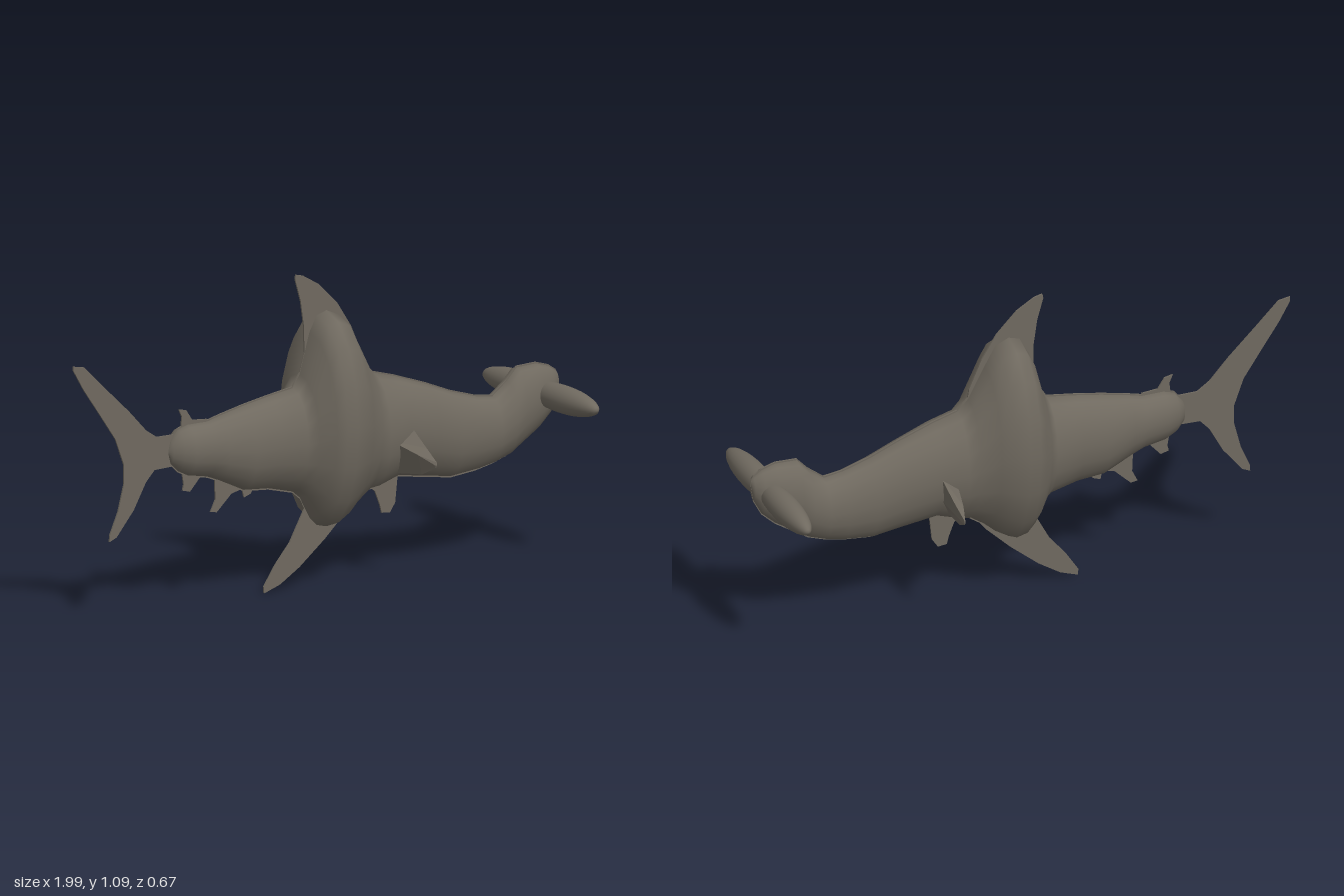
import * as THREE from 'three';

const skin = new THREE.MeshStandardMaterial({ color: 0x6f695f });
skin.name = 'greySkin';

// body cross-sections: x, top y, bottom y, half width
const SECTIONS = [
  [-0.61, 0.55, 0.55, 0], [-0.6, 0.59, 0.51, 0.025], [-0.57, 0.625, 0.48, 0.05],
  [-0.53, 0.637, 0.46, 0.061], [-0.45, 0.637, 0.445, 0.063], [-0.4, 0.65, 0.425, 0.072],
  [-0.3, 0.672, 0.378, 0.088], [-0.2, 0.69, 0.37, 0.095], [-0.1, 0.705, 0.345, 0.102],
  [-0.07, 0.75, 0.32, 0.125], [-0.03, 0.89, 0.245, 0.172], [0, 0.945, 0.215, 0.19],
  [0.04, 0.957, 0.205, 0.195], [0.09, 0.935, 0.235, 0.185], [0.13, 0.865, 0.27, 0.158],
  [0.19, 0.755, 0.31, 0.125], [0.23, 0.715, 0.315, 0.115], [0.32, 0.69, 0.345, 0.108],
  [0.45, 0.645, 0.325, 0.087], [0.55, 0.605, 0.31, 0.08], [0.65, 0.575, 0.32, 0.07],
  [0.72, 0.565, 0.335, 0.07], [0.78, 0.61, 0.355, 0.074], [0.82, 0.652, 0.38, 0.072],
  [0.9, 0.655, 0.43, 0.06], [0.95, 0.64, 0.475, 0.045], [0.98, 0.62, 0.53, 0.025],
  [0.99, 0.6, 0.59, 0],
];

// skin over rings that all have the same number of points
function loft(rings) {
  const n = rings[0].length;
  const index = [];
  for (let i = 0; i < rings.length - 1; i++) {
    for (let j = 0; j < n; j++) {
      const a = i * n + j, b = i * n + ((j + 1) % n);
      index.push(a, b, a + n, b, b + n, a + n);
    }
  }
  const geo = new THREE.BufferGeometry();
  geo.setAttribute('position', new THREE.Float32BufferAttribute(rings.flat(2), 3));
  geo.setIndex(index);
  geo.computeVertexNormals();
  return geo;
}

// thin upright plate in the middle plane
function plate(points, depth = 0.006) {
  const shape = new THREE.Shape(points.map(([x, y]) => new THREE.Vector2(x, y)));
  const geo = new THREE.ExtrudeGeometry(shape, { depth, bevelEnabled: false });
  return geo.translate(0, 0, -depth / 2);
}

export function createModel() {
  const model = new THREE.Group();
  model.name = 'hammerheadShark';
  const add = (name, geo) => {
    const mesh = new THREE.Mesh(geo, skin);
    mesh.name = name;
    model.add(mesh);
    return mesh;
  };

  // body: sixteen-sided ellipses along x
  const sides = 16;
  add('body', loft(SECTIONS.map(([x, top, bottom, w]) =>
    Array.from({ length: sides }, (_, j) => {
      const a = (j / sides) * Math.PI * 2;
      return [x, (top + bottom) / 2 + Math.cos(a) * (top - bottom) / 2, Math.sin(a) * w];
    }))));

  // narrow ridge along back and belly
  const ridge = 0.004;
  add('ridge', plate([
    ...SECTIONS.map(([x, top]) => [x, top + ridge]),
    ...SECTIONS.map(([x, , bottom]) => [x, bottom - ridge]).reverse(),
  ]));

  // flat fins
  const fins = {
    dorsalFin: [[-0.05, 0.8], [-0.052, 0.91], [-0.065, 1.0], [-0.088, 1.08], [-0.085, 1.095],
      [-0.055, 1.088], [0.01, 1.05], [0.085, 0.975], [0.14, 0.89], [0.185, 0.79], [0.2, 0.7]],
    tailFin: [[-0.997, 0.9], [-0.955, 0.893], [-0.875, 0.815], [-0.77, 0.715], [-0.7, 0.64],
      [-0.655, 0.61], [-0.57, 0.61], [-0.57, 0.5], [-0.665, 0.497], [-0.7, 0.46], [-0.75, 0.37],
      [-0.82, 0.285], [-0.85, 0.272], [-0.848, 0.295], [-0.815, 0.37], [-0.79, 0.465],
      [-0.79, 0.53], [-0.825, 0.625], [-0.89, 0.72], [-0.955, 0.813], [-0.997, 0.885]],
    lowerFin: [[-0.05, 0.35], [-0.05, 0.28], [-0.11, 0.17], [-0.17, 0.1], [-0.217, 0.03],
      [-0.215, 0.008], [-0.15, 0.03], [-0.07, 0.08], [0.035, 0.165], [0.125, 0.25], [0.19, 0.33]],
    rearDorsalFin: [[-0.56, 0.6], [-0.552, 0.665], [-0.565, 0.693], [-0.535, 0.687],
      [-0.51, 0.65], [-0.45, 0.645], [-0.45, 0.6]],
    rearBellyFin: [[-0.56, 0.52], [-0.545, 0.43], [-0.55, 0.41], [-0.52, 0.402],
      [-0.48, 0.445], [-0.45, 0.5]],
    bellyFin: [[-0.42, 0.47], [-0.415, 0.36], [-0.435, 0.32], [-0.41, 0.316],
      [-0.35, 0.372], [-0.3, 0.385], [-0.28, 0.45]],
    smallBellyFin: [[-0.31, 0.4], [-0.298, 0.352], [-0.27, 0.362], [-0.25, 0.4]],
    throatFin: [[0.19, 0.34], [0.24, 0.3], [0.26, 0.25], [0.267, 0.222], [0.3, 0.218],
      [0.322, 0.25], [0.333, 0.35], [0.25, 0.4]],
  };
  for (const [name, points] of Object.entries(fins)) add(name, plate(points));

  // swept side fins and hammer lobes, mirrored
  const finSections = [
    [0.07, [[0.26, 0.485], [0.288, 0.37], [0.318, 0.43], [0.33, 0.54]]],
    [0.19, [[0.288, 0.455], [0.302, 0.387], [0.316, 0.425], [0.322, 0.475]]],
    [0.258, [[0.31, 0.43], [0.312, 0.42], [0.316, 0.425], [0.316, 0.44]]],
    [0.262, [[0.314, 0.43], [0.314, 0.43], [0.314, 0.43], [0.314, 0.43]]],
  ];
  for (const side of [1, -1]) {
    const label = side > 0 ? 'left' : 'right';
    const rings = finSections.map(([z, pts]) => {
      const ring = pts.map(([x, y]) => [x, y, z * side]);
      return side > 0 ? ring : ring.reverse();
    });
    const fin = loft(rings).toNonIndexed();
    fin.computeVertexNormals();
    add(label + 'SideFin', fin);

    const lobe = add(label + 'HammerLobe', new THREE.SphereGeometry(1, 24, 16).rotateX(Math.PI / 2));
    lobe.scale.set(0.048, 0.048, 0.205);
    lobe.position.set(0.922, 0.552, 0.13 * side);
  }
  return model;
}
